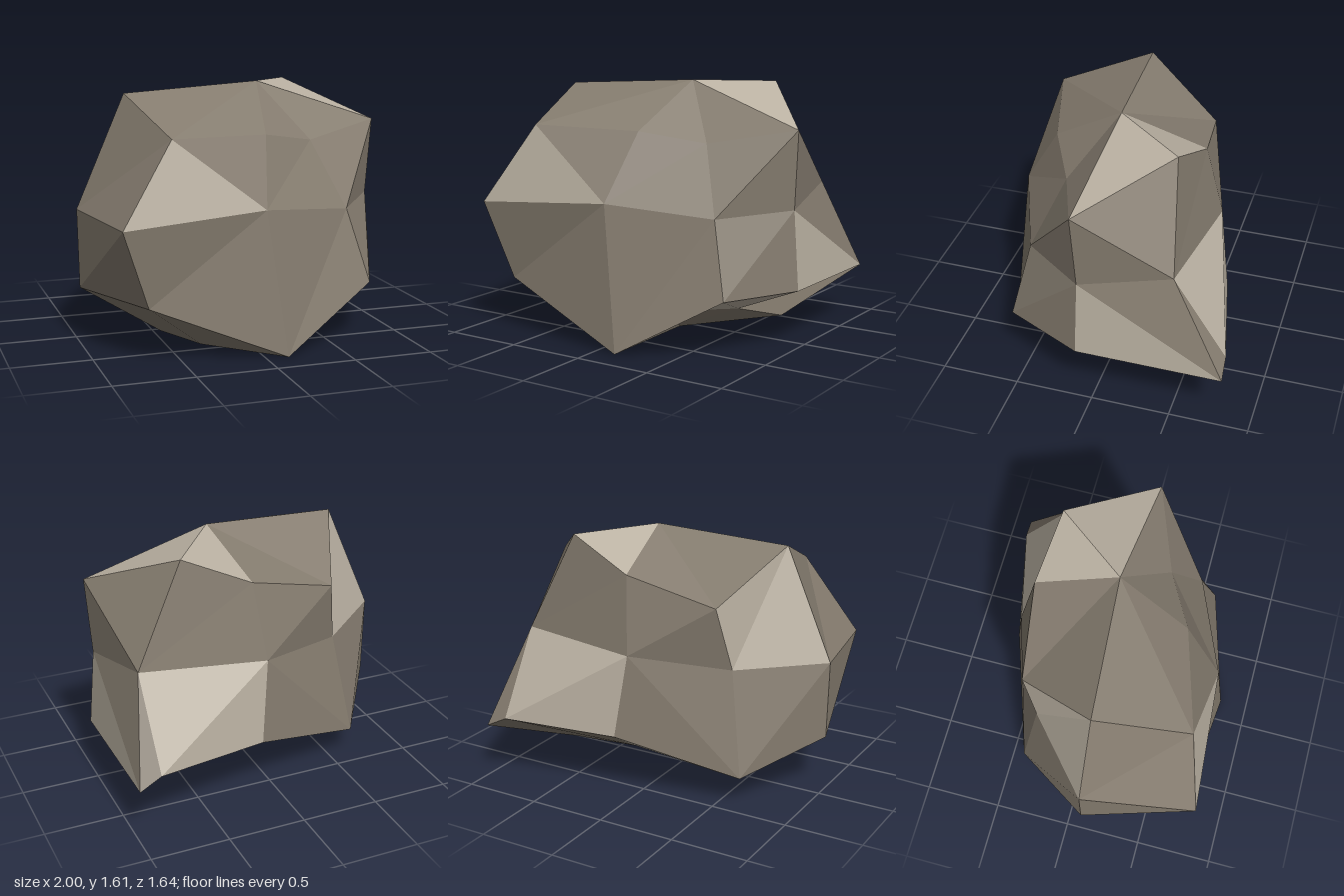
import * as THREE from 'three';

// Cross-section loops, top to bottom: front-left, front, front-right, right,
// back-right, ledge, back, back-left, left. Repeated points close a section.
const top = [0.2, 1.61, 0.04];
const under = [0.15, 0.01, 0.11];
const crown = [
  [-0.55, 1.34, 0.69], [0.1, 1.32, 0.5], [0.47, 1.25, 0.31], [0.99, 1.345, 0.11],
  [0.55, 1.59, -0.41], [0.55, 1.59, -0.41], [0.12, 1.4, -0.48], [-0.46, 1.25, -0.4], [-0.69, 1.56, 0.1],
];
const waist = [
  [-0.88, 0.84, 0.82], [0.02, 0.9, 0.75], [0.645, 0.83, 0.5], [0.96, 0.855, 0.09],
  [0.86, 0.95, -0.48], [0.86, 0.95, -0.48], [0.06, 0.915, -0.58], [-0.53, 0.845, -0.31], [-1, 0.85, 0.1],
];
const skirt = [
  [-0.71, 0.35, 0.74], [0.14, 0, 0.82], [0.77, 0.365, 0.6], [1, 0.36, 0.1],
  [0.99, 0.35, -0.82], [0.85, 0.42, -0.81], [0.12, 0.39, -0.65], [-0.64, 0.18, -0.405], [-0.99, 0.35, 0.1],
];
const base = [
  [-0.3, 0.01, 0.43], under, [0.22, 0.17, 0.32], [0.58, 0.19, 0.1],
  [0.73, 0.1, -0.2], [0.73, 0.1, -0.2], [0.16, 0.2, -0.33], under, [-0.47, 0.02, 0.1],
];

// Triangle corners, collected by colour
const newFacets = () => ({ plain: [], pale: [] });

// Adds one triangle unless two of its corners coincide
function addTriangle(facets, isPale, a, b, c) {
  const same = (p, q) => p.every((v, i) => v === q[i]);
  if (same(a, b) || same(b, c) || same(a, c)) return;
  (isPale ? facets.pale : facets.plain).push(...a, ...b, ...c);
}

// Joins two loops. splits: '\' or '/' is the way each facet pair is cut.
// tints: 'a' makes the first facet of the pair pale, 'x' makes both pale.
function addBand(facets, upper, lower, splits, tints) {
  const n = upper.length;
  for (let k = 0; k < n; k++) {
    const a = upper[k], b = upper[(k + 1) % n], c = lower[(k + 1) % n], d = lower[k];
    const first = tints[k] !== '.', second = tints[k] === 'x';
    if (splits[k] === '\\') {
      addTriangle(facets, first, a, d, c);
      addTriangle(facets, second, a, c, b);
    } else {
      addTriangle(facets, first, a, d, b);
      addTriangle(facets, second, d, c, b);
    }
  }
}

function facetMesh(name, points, material) {
  const geometry = new THREE.BufferGeometry();
  geometry.setAttribute('position', new THREE.Float32BufferAttribute(points, 3));
  geometry.computeVertexNormals();
  const mesh = new THREE.Mesh(geometry, material);
  mesh.name = name;
  return mesh;
}

export function createModel() {
  const stone = new THREE.MeshStandardMaterial({ color: 0x857c6f, flatShading: true });
  stone.name = 'stone';
  const paleStone = new THREE.MeshStandardMaterial({ color: 0xbab1a2, flatShading: true });
  paleStone.name = 'paleStone';

  // Caps
  const facets = newFacets();
  const n = crown.length;
  for (let k = 0; k < n; k++) {
    addTriangle(facets, k === 3 || k === 5, top, crown[k], crown[(k + 1) % n]);
    addTriangle(facets, k === 5, under, base[(k + 1) % n], base[k]);
  }
  // Sides
  addBand(facets, crown, waist, '\\//\\/////', 'a......x.');
  addBand(facets, waist, skirt, '///\\//\\//', '...a.x...');
  addBand(facets, skirt, base, '/\\\\//\\/\\/', '..x...a..');

  const group = new THREE.Group();
  group.name = 'rock';
  group.add(facetMesh('boulder', facets.plain, stone));
  group.add(facetMesh('paleFacets', facets.pale, paleStone));
  return group;
}
